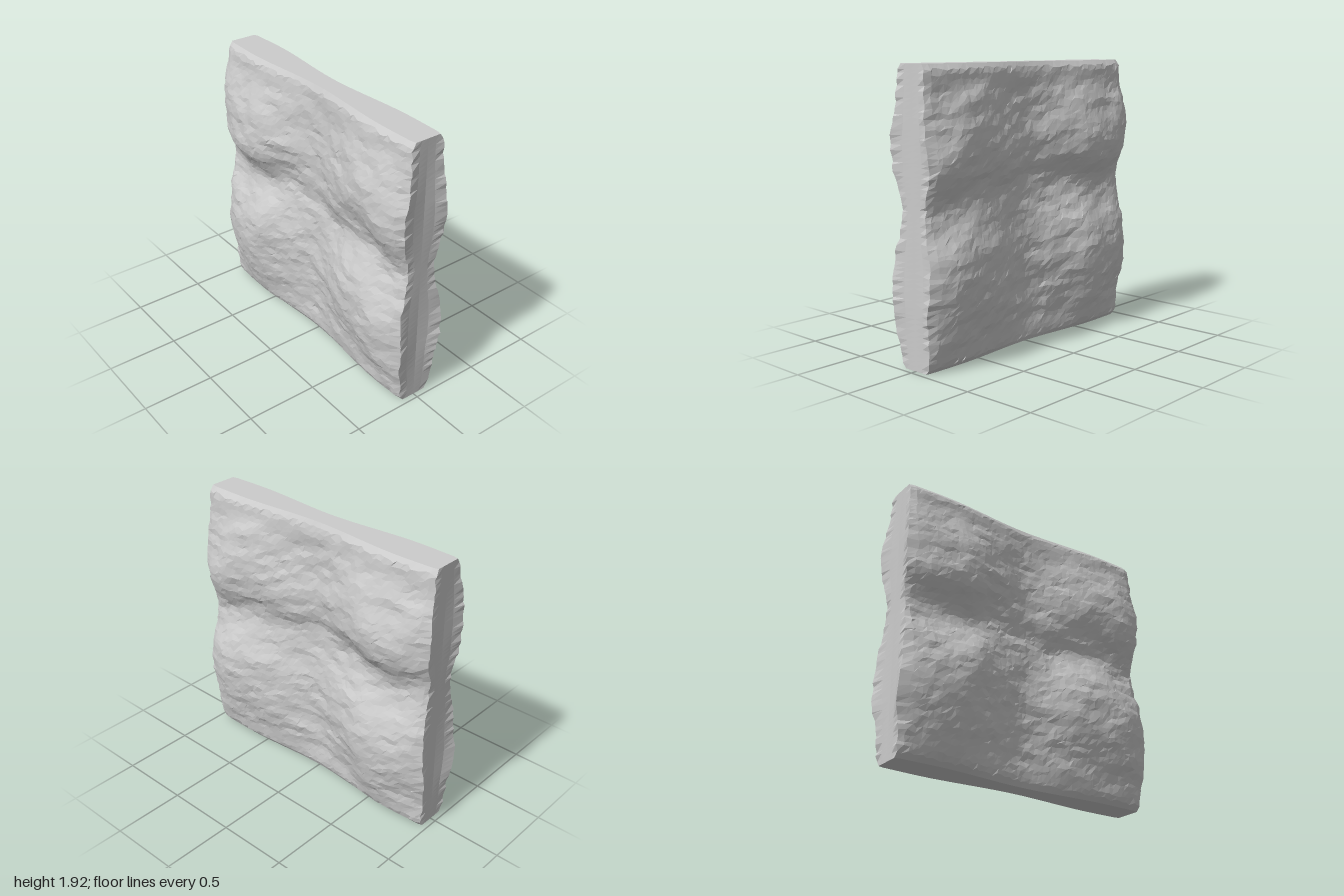
import * as THREE from 'three';

const HEIGHT = 1.925;

// Smooth curve through [position, value] points
function curve(points) {
  const xs = points.map(p => p[0]), vs = points.map(p => p[1]);
  return x => {
    const n = xs.length;
    if (x <= xs[0]) return vs[0];
    if (x >= xs[n - 1]) return vs[n - 1];
    let i = 0;
    while (x > xs[i + 1]) i++;
    const slope = k => {
      const a = Math.max(k - 1, 0), b = Math.min(k + 1, n - 1);
      return (vs[b] - vs[a]) / (xs[b] - xs[a]);
    };
    const d = xs[i + 1] - xs[i], t = (x - xs[i]) / d, t2 = t * t, t3 = t2 * t;
    return (2 * t3 - 3 * t2 + 1) * vs[i] + (t3 - 2 * t2 + t) * d * slope(i)
      + (3 * t2 - 2 * t3) * vs[i + 1] + (t3 - t2) * d * slope(i + 1);
  };
}

// Repeatable value noise in -1..1
function hash(i, j, seed) {
  const s = Math.sin(i * 127.1 + j * 311.7 + seed * 74.7) * 43758.5453;
  return (s - Math.floor(s)) * 2 - 1;
}
function noise(x, y, seed) {
  const i = Math.floor(x), j = Math.floor(y);
  const u = THREE.MathUtils.smoothstep(x - i, 0, 1), v = THREE.MathUtils.smoothstep(y - j, 0, 1);
  const { lerp } = THREE.MathUtils;
  return lerp(lerp(hash(i, j, seed), hash(i + 1, j, seed), u),
    lerp(hash(i, j + 1, seed), hash(i + 1, j + 1, seed), u), v);
}

// Half thickness along the width: at the swellings, and at the top and bottom rims
const swell = curve([[-0.96, 0.19], [-0.8, 0.24], [-0.6, 0.268], [-0.48, 0.255], [-0.35, 0.2],
  [-0.2, 0.15], [0, 0.098], [0.2, 0.142], [0.4, 0.2], [0.6, 0.228], [0.78, 0.247], [0.9, 0.215], [0.96, 0.19]]);
const rim = curve([[-0.96, 0.13], [-0.6, 0.14], [0, 0.088], [0.6, 0.135], [0.96, 0.13]]);
// How far each height swells from the rim thickness
const bulge = curve([[0, 0], [0.18, 0.36], [0.4, 0.82], [0.6, 1], [0.78, 0.83], [0.9, 0.42],
  [1.02, 0.16], [1.12, 0.28], [1.23, 0.66], [1.36, 0.86], [1.5, 0.78], [1.65, 0.45], [1.78, 0.13], [HEIGHT, 0]]);
const groove = curve([[0.7, 0], [0.92, 0.5], [1.07, 1], [1.17, 0.75], [1.27, 0]]);
const sideOut = curve([[0, 0], [0.2, 0.014], [0.42, 0.036], [0.7, 0.02], [1, 0], [1.25, 0.014], [1.5, 0.03], [1.75, 0.01], [HEIGHT, 0]]);

function halfThickness(x, y, seed) {
  const inner = Math.min(1, Math.min(y, HEIGHT - y) / 0.2);
  const yw = y + inner * (0.035 * Math.sin(x * 8 + 0.6) + 0.025 * noise(x * 5, y * 3, seed));
  let h = rim(x) + (swell(x) - rim(x)) * bulge(yw) - 0.022 * groove(yw);
  h += inner * (0.012 * noise(x * 4 + y, y * 7, seed + 1)
    + 0.008 * noise(x * 9 + y * 3, y * 17, seed + 2) + 0.004 * noise(x * 24, y * 30, seed + 3));
  // Chamfered rims
  const edge = Math.min(y, HEIGHT - y);
  return h * (edge < 0.04 ? 0.78 + 5.5 * edge : 1);
}

export function createModel() {
  const group = new THREE.Group();
  const nx = 58, ny = 58;
  const geometry = new THREE.BoxGeometry(1.92, HEIGHT, 2, nx, ny, 4);
  geometry.translate(0, HEIGHT / 2, 0);
  const pos = geometry.attributes.position;

  // Turn the box into an uneven slab with two swellings and a waist
  for (let k = 0; k < pos.count; k++) {
    let x = pos.getX(k), y = pos.getY(k);
    const z = pos.getZ(k);
    const i = Math.round((x / 1.92 + 0.5) * nx), j = Math.round(y / HEIGHT * ny);
    const seed = z >= 0 ? 3 : 11;
    const face = Math.abs(z) > 0.99;
    // Uneven facets on the broad faces
    if (i > 0 && i < nx) x += 0.011 * hash(i, j, seed + 20);
    if (j > 0 && j < ny) y += 0.011 * hash(i, j, seed + 30);
    const h = halfThickness(x, y, seed);
    // Ends flare toward the broad faces
    if (i === 0 || i === nx) {
      const rough = face && j > 0 && j < ny ? 0.007 * hash(i, j, seed + 40) : 0;
      x += Math.sign(x) * (sideOut(y) * z * z + rough);
    }
    const endTrim = 1 - 0.1 * THREE.MathUtils.smoothstep(Math.abs(x), 0.93, 0.97);
    pos.setXYZ(k, x, y, z * h * endTrim);
  }
  geometry.computeVertexNormals();

  const slab = new THREE.Mesh(geometry,
    new THREE.MeshStandardMaterial({ color: 0xcccccc, flatShading: true }));
  slab.name = 'rockSlab';
  group.add(slab);
  return group;
}
